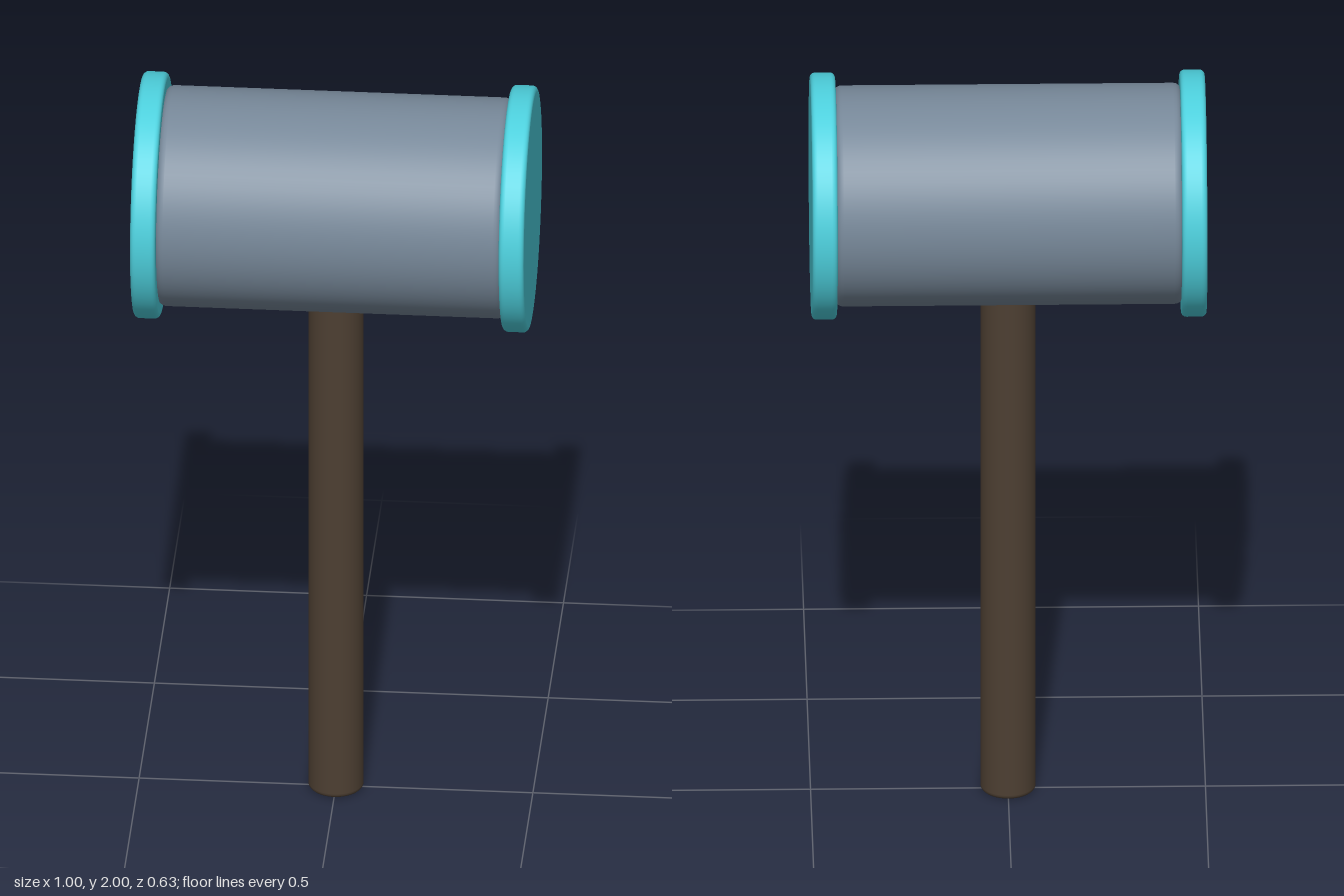
import * as THREE from 'three';

// Solid cylinder along y, centred on the origin, with rounded rims
function roundedCylinder(radius, length, bevel, color, name) {
  const h = length / 2, steps = 5, eps = 0.001;
  const bottom = [[0, -h], [radius - bevel - eps, -h]];
  for (let i = 0; i <= steps; i++) {
    const a = (i / steps) * Math.PI / 2;
    bottom.push([radius - bevel + bevel * Math.sin(a), -h + bevel - bevel * Math.cos(a)]);
  }
  bottom.push([radius, -h + bevel + eps]);
  const top = bottom.map(([r, y]) => [r, -y]).reverse();
  const profile = [...bottom, ...top].map(([r, y]) => new THREE.Vector2(r, y));
  const mesh = new THREE.Mesh(
    new THREE.LatheGeometry(profile, 64),
    new THREE.MeshStandardMaterial({ color })
  );
  mesh.name = name;
  return mesh;
}

export function createModel() {
  const model = new THREE.Group();
  model.name = 'mallet';

  // Upright wooden handle, reaching into the head
  const handle = roundedCylinder(0.07, 1.5, 0.012, 0x4d3f32, 'handle');
  handle.position.y = 0.75;
  model.add(handle);

  // Head assembly lying along x
  const head = new THREE.Group();
  head.name = 'head';
  head.position.y = 1.687;
  const barrel = roundedCylinder(0.28, 0.88, 0.02, 0x778899, 'barrel');
  barrel.rotation.z = Math.PI / 2;
  head.add(barrel);

  // Striking caps at both ends
  for (const side of [1, -1]) {
    const cap = roundedCylinder(0.313, 0.064, 0.013, 0x4dd0dd, side > 0 ? 'leftCap' : 'rightCap');
    cap.rotation.z = Math.PI / 2;
    cap.position.x = side * 0.468;
    head.add(cap);
  }
  model.add(head);

  return model;
}
